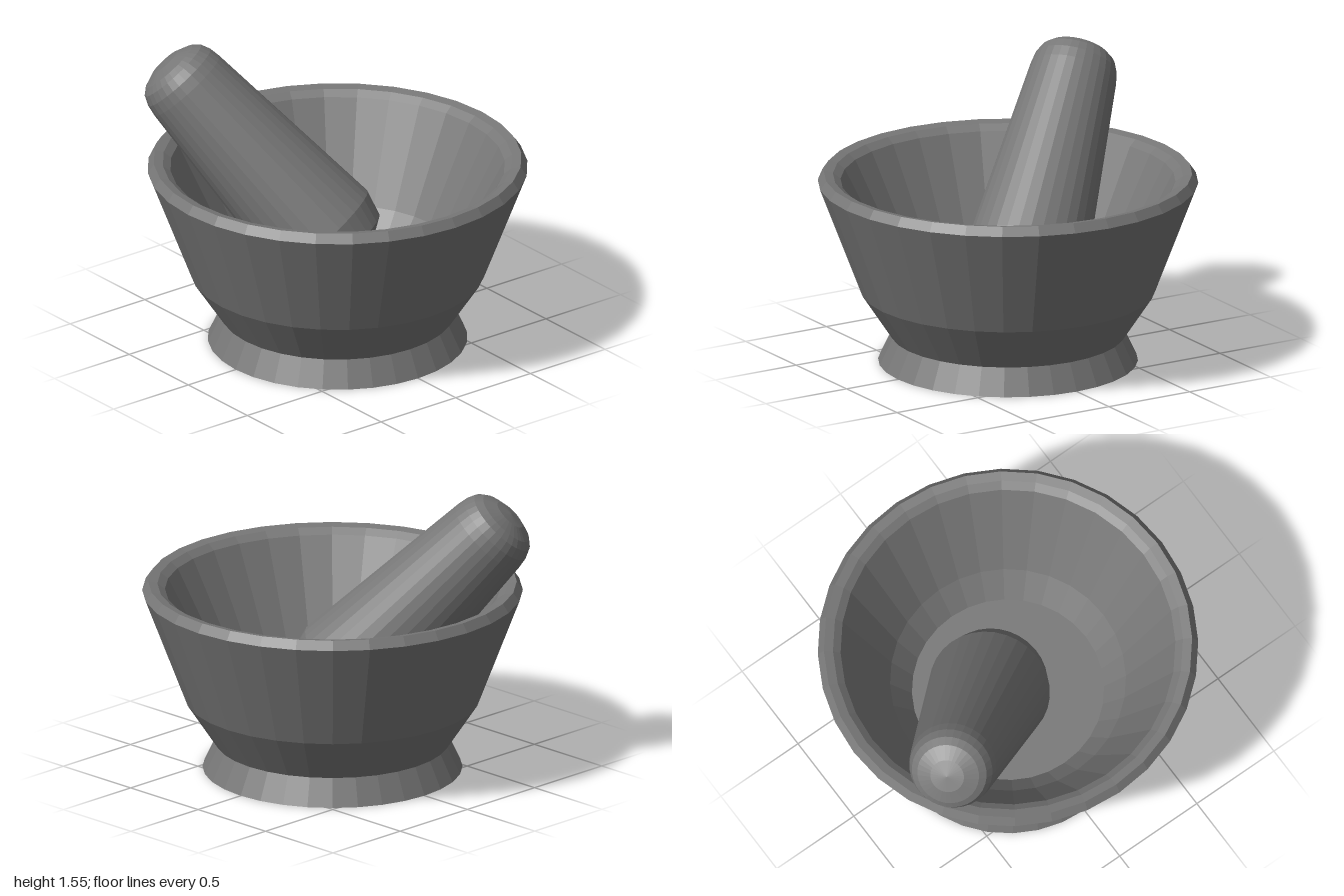
import * as THREE from 'three';

const SIDES = 32;

// Turns [radius, height] pairs into a faceted solid of revolution
function turned(name, profile) {
  const points = profile.map(([r, y]) => new THREE.Vector2(r, y));
  const mesh = new THREE.Mesh(
    new THREE.LatheGeometry(points, SIDES),
    new THREE.MeshStandardMaterial({ color: 0x777777, flatShading: true })
  );
  mesh.name = name;
  return mesh;
}

export function createModel() {
  const model = new THREE.Group();
  model.name = 'mortarAndPestle';

  // Mortar: flared foot, two-stage bowl, bevelled rim, hollow inside
  model.add(turned('mortar', [
    [0, 0], [0.683, 0], [0.615, 0.143], // foot
    [0.775, 0.385], [1, 0.978], [0.968, 1.025], // outer wall
    [0.92, 1.015], [0.88, 0.985], // rounded inner lip
    [0.62, 0.48], [0.505, 0.33], [0, 0.33], // inside wall and floor
  ]));

  // Pestle: blunt grinding end, tapered shaft, flattened round grip end
  const pestle = turned('pestle', [
    [0, -0.88], [0.16, -0.855], [0.285, -0.775], [0.322, -0.64],
    [0.232, 0.42], [0.222, 0.48], [0.2, 0.53], [0.165, 0.56],
    [0.09, 0.59], [0, 0.6],
  ]);

  // Lean the pestle over the front right of the rim
  const axis = new THREE.Vector3(-0.537, 0.726, 0.431).normalize();
  pestle.quaternion.setFromUnitVectors(new THREE.Vector3(0, 1, 0), axis);
  pestle.position.set(-0.466, 1.025, 0.281);
  model.add(pestle);

  return model;
}
